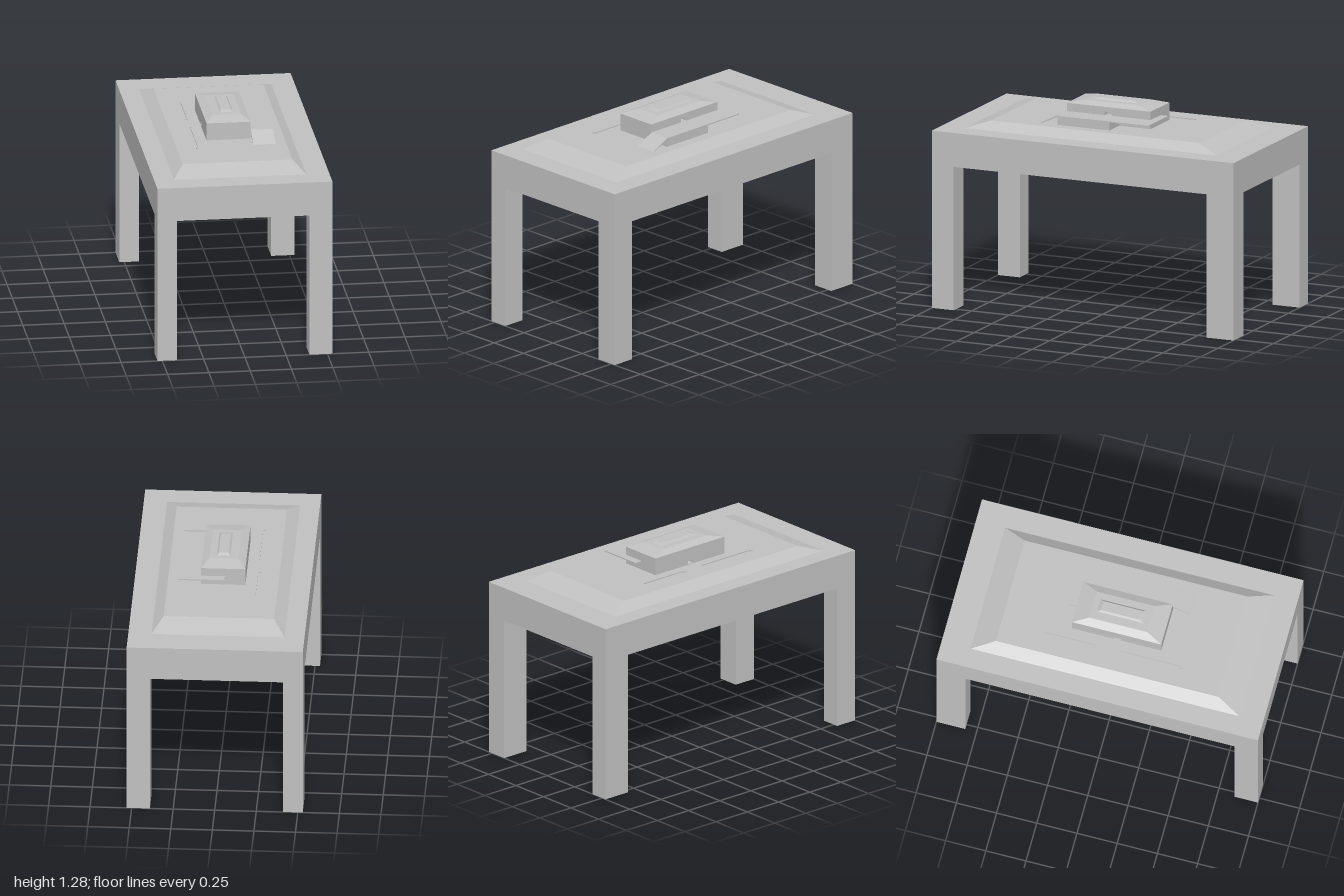
import * as THREE from 'three';

const grey = new THREE.MeshStandardMaterial({ color: 0xc0c0c0 });
grey.name = 'plain grey';

export function createModel() {
  const model = new THREE.Group();

  const add = (name, geometry) => {
    const mesh = new THREE.Mesh(geometry, grey);
    mesh.name = name;
    model.add(mesh);
    return mesh;
  };

  // Box given by its limits on each axis
  const block = (name, [x0, x1], [y0, y1], [z0, z1]) =>
    add(name, new THREE.BoxGeometry(x1 - x0, y1 - y0, z1 - z0)
      .translate((x0 + x1) / 2, (y0 + y1) / 2, (z0 + z1) / 2));

  // Box whose top rectangle is smaller than its base
  const frustum = (name, [y0, y1], base, top) => {
    const g = new THREE.BoxGeometry(1, 1, 1);
    const p = g.attributes.position;
    for (let i = 0; i < p.count; i++) {
      const r = p.getY(i) > 0 ? top : base;
      p.setXYZ(i, r[p.getX(i) > 0 ? 1 : 0], p.getY(i) > 0 ? y1 : y0, r[p.getZ(i) > 0 ? 3 : 2]);
    }
    g.computeVertexNormals();
    return add(name, g);
  };

  // Table slab and four legs
  block('tableSlab', [-0.53, 0.53], [0.885, 1.095], [-1, 1]);
  for (const x of [[-0.53, -0.41], [0.39, 0.53]])
    for (const z of [[-1, -0.82], [0.855, 1]]) block('leg', x, [0, 0.885], z);

  // Raised platform with sloping edges: [x0, x1, z0, z1]
  frustum('platform', [1.095, 1.143], [-0.41, 0.39, -0.82, 0.85], [-0.34, 0.325, -0.68, 0.705]);

  // Side wall of the building with a small recessed doorway
  const sideWall = (name, x, doorY) => {
    const wall = new THREE.Shape([
      [-0.295, 1.143], [0.26, 1.143], [0.26, 1.25], [-0.295, 1.25],
    ].map(([u, v]) => new THREE.Vector2(u, v)));
    wall.holes.push(new THREE.Path([
      [-0.045, doorY], [-0.045, doorY + 0.022], [0, doorY + 0.022], [0, doorY],
    ].map(([u, v]) => new THREE.Vector2(u, v))));
    const g = new THREE.ExtrudeGeometry(wall, { depth: 0.04, bevelEnabled: false });
    add(name, g.rotateY(Math.PI / 2).translate(x, 0, 0));
  };
  sideWall('rightWall', -0.143, 1.146);
  sideWall('leftWall', 0.083, 1.199);
  block('buildingCore', [-0.103, 0.083], [1.143, 1.25], [-0.26, 0.295]);

  // Hipped roof and ridge cap
  frustum('roof', [1.25, 1.27], [-0.143, 0.123, -0.26, 0.295], [-0.095, 0.077, -0.165, 0.195]);
  frustum('roofRidge', [1.27, 1.28], [-0.045, 0.035, -0.13, 0.16], [-0.034, 0.025, -0.11, 0.13]);

  // Walkway round the side and back, with its supporting wall
  block('walkway', [0.123, 0.26], [1.192, 1.199], [-0.31, 0.295]);
  block('backWalkway', [-0.02, 0.123], [1.192, 1.199], [-0.31, -0.26]);
  block('walkwaySupport', [0.123, 0.258], [1.143, 1.192], [-0.05, 0.295]);

  // Thin ramp up to the walkway
  const ramp = new THREE.Shape([
    [-0.41, 1.143], [-0.395, 1.143], [-0.295, 1.19], [-0.295, 1.199],
  ].map(([u, v]) => new THREE.Vector2(u, v)));
  add('ramp', new THREE.ExtrudeGeometry(ramp, { depth: 0.135, bevelEnabled: false })
    .rotateY(Math.PI / 2).translate(0.125, 0, 0));

  // Low kerbs on the platform, each with a short return at its front end
  for (const [z0, z1] of [[-0.405, -0.095], [0.06, 0.44]]) {
    block('kerb', [-0.212, -0.206], [1.143, 1.149], [z0, z1]);
    block('kerbEnd', [-0.224, -0.212], [1.143, 1.149], [z1 - 0.012, z1 + 0.008]);
  }
  return model;
}
